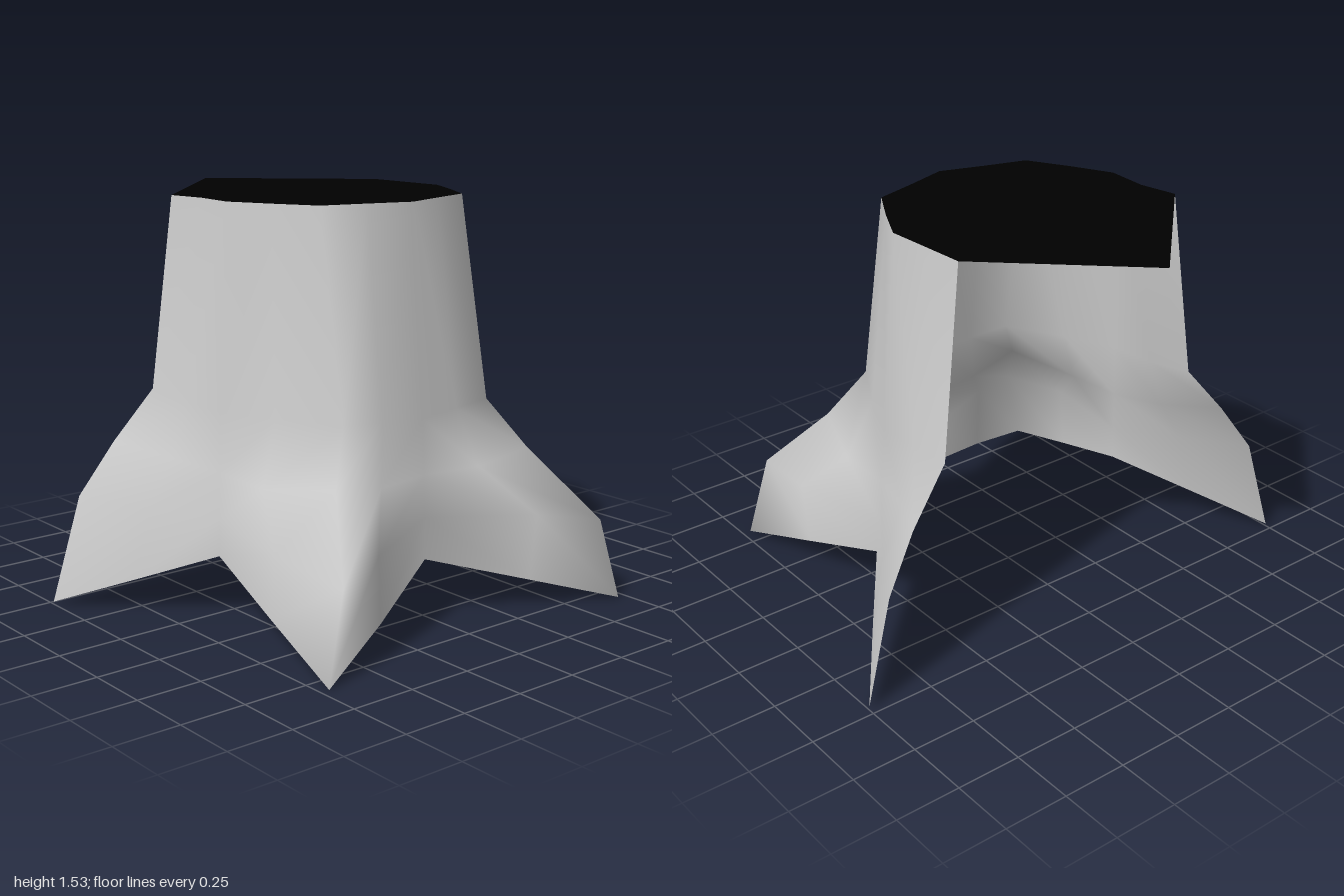
import * as THREE from 'three';

// Columns of the bark from the back root round to the front centre, each top to bottom [x, y, z]
const HALF = [
  // ridge of the back root
  [[0.49, 1.53, -0.35], [0.575, 0.8, -0.37], [0.75, 0.61, -0.415], [0.885, 0.41, -0.455], [1, 0.01, -0.475]],
  // flank of the back root
  [[0.5, 1.53, -0.17], [0.573, 0.78, -0.18], [0.64, 0.57, -0.19], [0.74, 0.39, -0.2], [0.8, 0.125, -0.21]],
  // side hollow
  [[0.51, 1.53, 0], [0.565, 0.77, 0.02], [0.58, 0.55, 0.03], [0.59, 0.38, 0.04], [0.6, 0.24, 0.05]],
  // outer flank of the front root
  [[0.43, 1.53, 0.16], [0.475, 0.77, 0.23], [0.57, 0.54, 0.28], [0.665, 0.36, 0.47], [0.66, 0.12, 0.44]],
  // ridge of the front root
  [[0.34, 1.53, 0.32], [0.35, 0.77, 0.46], [0.47, 0.58, 0.565], [0.63, 0.32, 0.8], [0.715, 0, 0.83]],
  // inner flank of the front root
  [[0.17, 1.53, 0.37], [0.18, 0.76, 0.475], [0.24, 0.54, 0.54], [0.39, 0.36, 0.7], [0.37, 0.108, 0.69]],
  // front hollow
  [[0, 1.53, 0.425], [0, 0.75, 0.49], [0, 0.54, 0.5], [0, 0.38, 0.505], [0, 0.22, 0.51]],
];

function trunkColumns() {
  const mirrored = HALF.slice(0, -1).reverse().map(col => col.map(([x, y, z]) => [-x, y, z]));
  const columns = [...HALF, ...mirrored];
  // the back edge leans out a little more on one side
  const edge = columns[columns.length - 1];
  edge[0] = [-0.53, 1.53, -0.32];
  edge[1] = [-0.6, 0.8, -0.37];
  return columns;
}

// Open wall stitched between neighbouring columns
function wallGeometry(columns) {
  const rows = columns[0].length;
  const index = [];
  for (let i = 0; i < columns.length - 1; i++) {
    for (let j = 0; j < rows - 1; j++) {
      const a = i * rows + j, b = a + rows, c = a + 1, d = b + 1;
      if (i < columns.length / 2 - 1) index.push(a, b, c, b, d, c);
      else index.push(a, b, d, a, d, c);
    }
  }
  const geometry = new THREE.BufferGeometry();
  geometry.setAttribute('position', new THREE.Float32BufferAttribute(columns.flat(2), 3));
  geometry.setIndex(index);
  geometry.computeVertexNormals();
  return geometry;
}

export function createModel() {
  const bark = new THREE.MeshStandardMaterial({ color: 0xcccccc, side: THREE.DoubleSide });
  bark.name = 'pale grey bark';
  const dark = new THREE.MeshStandardMaterial({ color: 0x000000, side: THREE.DoubleSide });
  dark.name = 'black top';

  const columns = trunkColumns();
  const model = new THREE.Group();
  model.name = 'treeStump';

  const wall = new THREE.Mesh(wallGeometry(columns), bark);
  wall.name = 'trunkAndRoots';
  model.add(wall);

  // flat top, running out to a point over the open back
  const outline = columns.map(([[x, , z]]) => new THREE.Vector2(x, -z));
  outline.push(new THREE.Vector2(-0.02, 0.83));
  const top = new THREE.Mesh(new THREE.ShapeGeometry(new THREE.Shape(outline)), dark);
  top.name = 'stumpTop';
  top.rotation.x = -Math.PI / 2;
  top.position.y = 1.53;
  model.add(top);

  return model;
}
